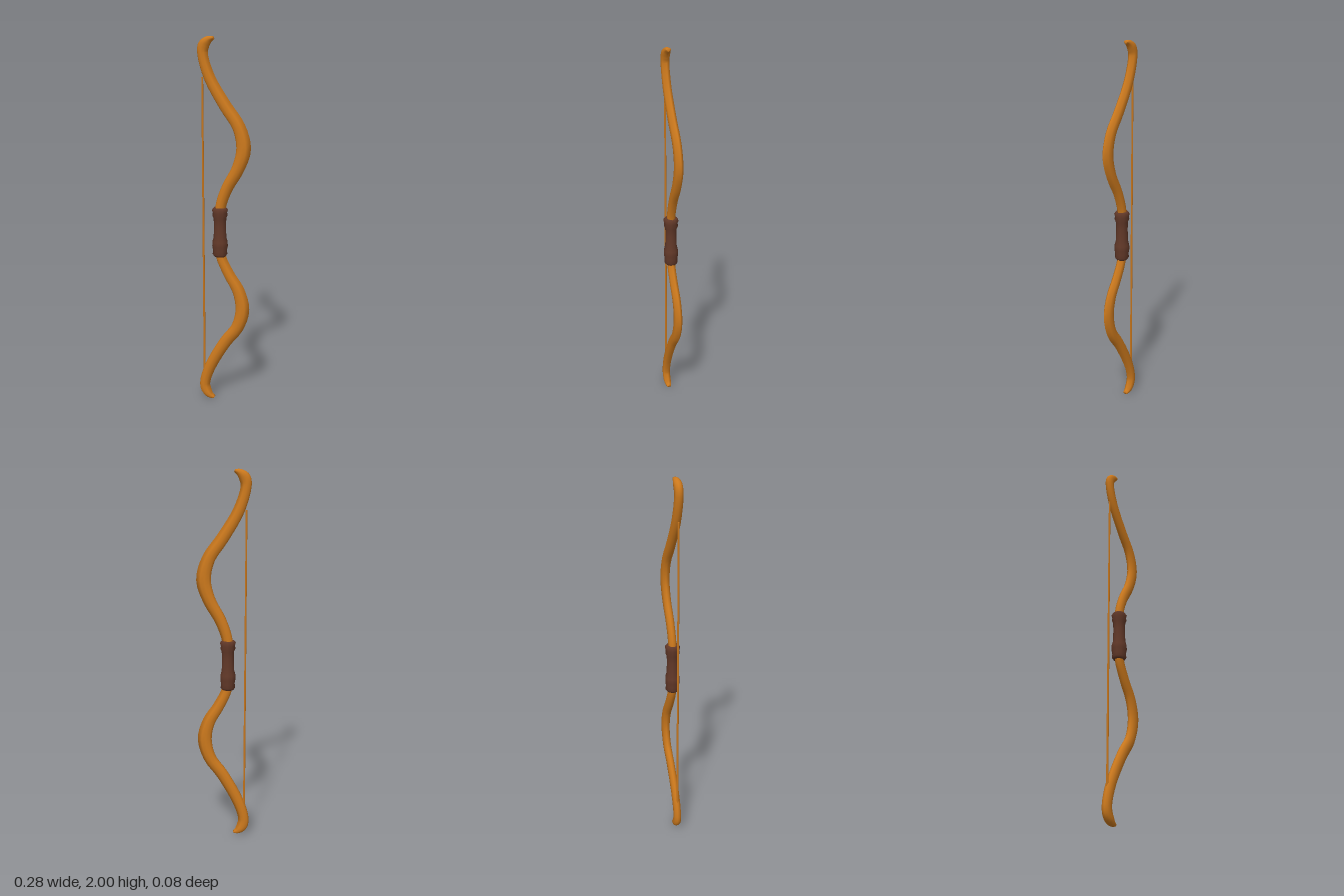
import * as THREE from 'three';

const wood = new THREE.MeshStandardMaterial({ name: 'warm wood', color: 0xcc791d });
const leather = new THREE.MeshStandardMaterial({ name: 'dark leather', color: 0x613828 });

// Sweeps a section along a planar path of (x, y, half width), ridge on the +x side
function limbGeometry(path, section, steps) {
  const curve = new THREE.CatmullRomCurve3(path.map(p => new THREE.Vector3(...p)));
  const positions = [], indices = [], n = section.length;
  for (let i = 0; i <= steps; i++) {
    const p = curve.getPoint(i / steps);
    const t = curve.getTangent(i / steps).setZ(0).normalize();
    const depth = Math.min(0.021, 0.008 + p.z * 0.5);
    for (const [u, v] of section) {
      positions.push(p.x + t.y * u * p.z, p.y - t.x * u * p.z, v * depth);
    }
  }
  for (let i = 0; i < steps; i++) {
    for (let j = 0; j < n; j++) {
      const a = i * n + j, b = i * n + (j + 1) % n;
      indices.push(a, a + n, b, b, a + n, b + n);
    }
  }
  // End caps
  const last = steps * n;
  for (let j = 1; j < n - 1; j++) {
    indices.push(0, j, j + 1, last, last + j + 1, last + j);
  }
  const geometry = new THREE.BufferGeometry();
  geometry.setAttribute('position', new THREE.Float32BufferAttribute(positions, 3));
  geometry.setIndex(indices);
  geometry.computeVertexNormals();
  return geometry;
}

export function createModel() {
  const bow = new THREE.Group();
  bow.name = 'bow';

  // Recurved stave: tip, lower limb, handle, upper limb, tip
  const path = [
    [-0.058, 0.007, 0.008], [-0.085, 0.021, 0.022], [-0.106, 0.05, 0.03],
    [-0.113, 0.09, 0.029], [-0.085, 0.19, 0.031], [0.007, 0.36, 0.033],
    [0.075, 0.455, 0.034], [0.103, 0.565, 0.038], [0.08, 0.67, 0.034],
    [0.027, 0.76, 0.03], [-0.02, 0.865, 0.027],
    [-0.025, 1, 0.025], [-0.02, 1.13, 0.028],
    [0.016, 1.235, 0.03], [0.074, 1.34, 0.033], [0.103, 1.445, 0.038],
    [0.077, 1.555, 0.034], [0.005, 1.66, 0.032], [-0.078, 1.8, 0.029],
    [-0.113, 1.92, 0.027], [-0.106, 1.955, 0.029], [-0.085, 1.978, 0.021],
    [-0.056, 1.991, 0.008],
  ];
  // Section starts at the ridge and runs round by way of +z
  const section = [
    [1, 0], [0.4, 0.88], [-0.2, 1], [-0.75, 0.8], [-1, 0.25],
    [-1, -0.25], [-0.75, -0.8], [-0.2, -1], [0.4, -0.88],
  ];
  const stave = new THREE.Mesh(limbGeometry(path, section, 88), wood);
  stave.name = 'stave';
  bow.add(stave);

  // Leather grip with flared ends
  const profile = [
    [0, 0.862], [0.031, 0.858], [0.04, 0.87], [0.037, 0.89], [0.042, 0.915],
    [0.041, 0.94], [0.034, 0.965], [0.032, 1.03], [0.034, 1.07],
    [0.041, 1.085], [0.038, 1.1], [0.043, 1.115], [0.034, 1.127], [0, 1.124],
  ].map(p => new THREE.Vector2(...p));
  const grip = new THREE.Mesh(new THREE.LatheGeometry(profile, 10), leather);
  grip.name = 'grip';
  grip.position.x = -0.024;
  grip.scale.z = 0.94;
  bow.add(grip);

  // Bowstring
  const string = new THREE.Mesh(new THREE.CylinderGeometry(0.005, 0.006, 1.64, 6), wood);
  string.name = 'bowstring';
  string.position.set(-0.116, 0.98, 0);
  bow.add(string);

  return bow;
}
